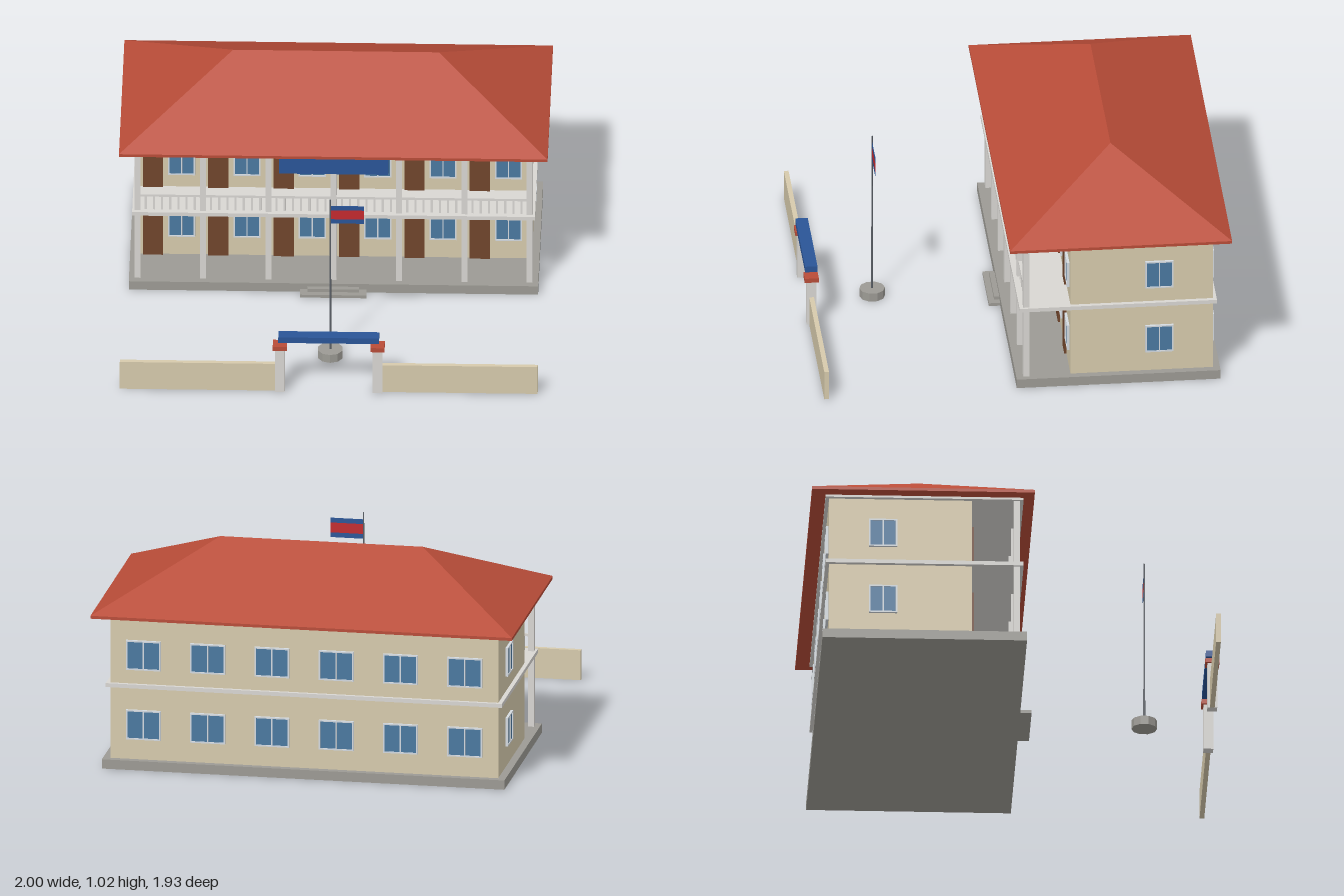
import * as THREE from 'three';

const mat = (color) => new THREE.MeshStandardMaterial({ color, flatShading: true });

export function createModel() {
  const root = new THREE.Group();
  const M = {
    wall: mat(0xd6caac), roof: mat(0xb84c38), base: mat(0x9c9a94), trim: mat(0xd8d6d2),
    door: mat(0x70452c), glass: mat(0x4a78a0), frame: mat(0xd4dae0), blue: mat(0x2a5597),
    red: mat(0xc22a2e), pole: mat(0x5a5f66),
  };

  // Box given by its min and max corners
  function box(name, m, x0, x1, y0, y1, z0, z1, parent = root) {
    const mesh = new THREE.Mesh(new THREE.BoxGeometry(x1 - x0, y1 - y0, z1 - z0), m);
    mesh.position.set((x0 + x1) / 2, (y0 + y1) / 2, (z0 + z1) / 2);
    mesh.name = name;
    parent.add(mesh);
    return mesh;
  }

  // Framed window facing +z before it is turned
  function windowUnit(name, w, h, x, y, z, turn = 0) {
    const g = new THREE.Group();
    g.name = name;
    const f = 0.007;
    for (const s of [-1, 1]) {
      box('frameSide', M.frame, s * (w / 2 - f / 2) - f / 2, s * (w / 2 - f / 2) + f / 2, -h / 2, h / 2, -0.005, 0.012, g);
      box('frameRail', M.frame, -w / 2 + f, w / 2 - f, s * (h / 2 - f / 2) - f / 2, s * (h / 2 - f / 2) + f / 2, -0.005, 0.012, g);
    }
    box('mullion', M.frame, -0.003, 0.003, -h / 2 + f, h / 2 - f, -0.005, 0.012, g);
    box('glass', M.glass, -w / 2 + f, w / 2 - f, -h / 2 + f, h / 2 - f, -0.005, 0.008, g);
    g.position.set(x, y, z);
    g.rotation.y = turn;
    root.add(g);
  }

  // Foundation and entrance steps
  box('foundation', M.base, -0.955, 0.955, 0, 0.045, -0.92, 0.035);
  box('upperStep', M.base, -0.12, 0.12, 0, 0.03, 0.035, 0.06);
  box('lowerStep', M.base, -0.155, 0.155, 0, 0.015, 0.035, 0.088);

  // Main body and floor slabs
  box('building', M.wall, -0.92, 0.92, 0.045, 0.735, -0.888, -0.22);
  box('balconySlab', M.trim, -0.94, 0.94, 0.393, 0.412, -0.905, 0.02);
  box('ceilingSlab', M.trim, -0.94, 0.94, 0.73, 0.742, -0.905, 0.02);

  // Bays: doors, windows and railing
  const bay = 0.305;
  for (let i = 0; i < 6; i++) {
    const cx = (i - 2.5) * bay;
    for (const [floor, doorTop, frontY, backY] of [[0.045, 0.27, 0.21, 0.214], [0.412, 0.607, 0.545, 0.552]]) {
      box('door', M.door, cx - 0.133, cx - 0.038, floor, doorTop, -0.225, -0.21);
      windowUnit('frontWindow', 0.127, 0.13, cx + 0.048, frontY, -0.22);
      windowUnit('backWindow', 0.165, 0.143, cx, backY, -0.888, Math.PI);
    }
    box('handRail', M.trim, cx - bay / 2, cx + bay / 2, 0.482, 0.494, -0.02, -0.005);
    for (let k = 1; k < 8; k++) {
      const x = cx - bay / 2 + k * bay / 8;
      box('baluster', M.trim, x - 0.005, x + 0.005, 0.412, 0.482, -0.017, -0.008);
    }
  }

  // Side windows
  for (const s of [-1, 1])
    for (const y of [0.215, 0.555]) windowUnit('sideWindow', 0.132, 0.14, s * 0.92, y, -0.636, s * Math.PI / 2);

  // Veranda columns
  for (let i = 0; i < 7; i++) {
    const x = (i - 3) * bay;
    box('column', M.trim, x - 0.014, x + 0.014, 0.045, 0.73, -0.026, 0.002);
  }

  // Hip roof: underside rectangle, eave rectangle and ridge
  const rect = (y) => [[-1, y, 0.07], [1, y, 0.07], [1, y, -0.97], [-1, y, -0.97]];
  const pts = [...rect(0.741), ...rect(0.755), [-0.48, 1.02, -0.45], [0.48, 1.02, -0.45]];
  const faces = [3, 2, 1, 3, 1, 0, 4, 5, 9, 4, 9, 8, 5, 6, 9, 6, 7, 8, 6, 8, 9, 7, 4, 8];
  for (let i = 0; i < 4; i++) {
    const j = (i + 1) % 4;
    faces.push(i, j, j + 4, i, j + 4, i + 4);
  }
  let roofGeo = new THREE.BufferGeometry();
  roofGeo.setAttribute('position', new THREE.Float32BufferAttribute(pts.flat(), 3));
  roofGeo.setIndex(faces);
  roofGeo = roofGeo.toNonIndexed();
  roofGeo.computeVertexNormals();
  const roof = new THREE.Mesh(roofGeo, M.roof);
  roof.name = 'hipRoof';
  root.add(roof);

  // Blank sign board under the eave
  box('signBoard', M.blue, -0.255, 0.255, 0.63, 0.72, 0.002, 0.018);

  // Flagpole with striped flag
  function cylinder(name, m, rTop, rBottom, y0, y1, sides) {
    const mesh = new THREE.Mesh(new THREE.CylinderGeometry(rTop, rBottom, y1 - y0, sides), m);
    mesh.position.set(0, (y0 + y1) / 2, 0.62);
    mesh.name = name;
    root.add(mesh);
  }
  cylinder('flagpoleBase', M.base, 0.06, 0.06, 0, 0.042, 10);
  cylinder('flagpole', M.pole, 0.003, 0.005, 0.042, 0.85, 8);
  box('flagBottomStripe', M.blue, 0.003, 0.157, 0.722, 0.745, 0.619, 0.621);
  box('flagMiddleStripe', M.red, 0.003, 0.157, 0.745, 0.793, 0.619, 0.621);
  box('flagTopStripe', M.blue, 0.003, 0.157, 0.793, 0.816, 0.619, 0.621);

  // Gate and boundary walls
  for (const s of [-1, 1]) {
    const x = s * 0.228;
    box('gatePost', M.trim, x - 0.023, x + 0.023, 0, 0.23, 0.905, 0.951);
    box('postCap', M.roof, x - 0.033, x + 0.033, 0.228, 0.25, 0.895, 0.961);
    const a = s * 0.25, b = s * 0.975;
    box('boundaryWall', M.wall, Math.min(a, b), Math.max(a, b), 0, 0.145, 0.917, 0.939);
  }
  box('gateBeam', M.blue, -0.235, 0.235, 0.27, 0.3, 0.899, 0.957);

  return root;
}
